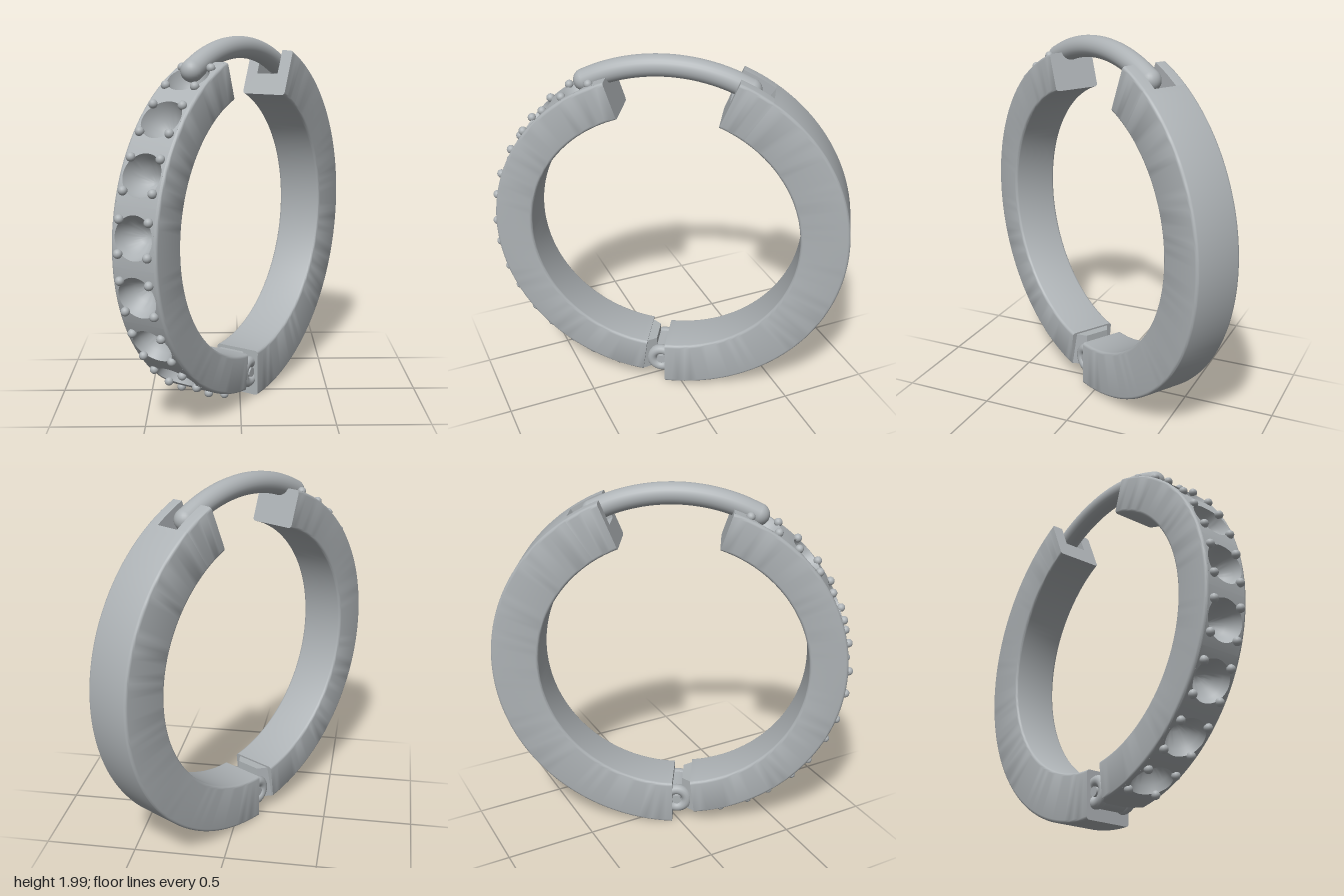
import * as THREE from 'three';
import { toCreasedNormals } from 'three/addons/utils/BufferGeometryUtils.js';

const rad = THREE.MathUtils.degToRad;

// Hoop lies in the local yz plane, its width runs along x
const HALF_WIDTH = 0.133, EDGE = 0.016, CENTRE_Y = 1.0;
const FRONT = { z: 0.04, inner: 0.72, outer: 0.926 };
const BACK = { z: 0.025, inner: 0.73, outer: 0.991 };

const metal = new THREE.MeshStandardMaterial({ color: 0xadb2b5, side: THREE.DoubleSide });
metal.name = 'silver metal';

// Point at an angle (degrees, 0 = front, 90 = top) and radius around a half's centre
function polar(half, deg, radius, w) {
  const t = rad(deg);
  return [w, CENTRE_Y + radius * Math.sin(t), half.z + radius * Math.cos(t)];
}

function finish(geometry) {
  return toCreasedNormals(geometry, 0.6);
}

// Surface over a grid: fn(i, j) gives a point
function grid(fn, nu, nv) {
  const pos = [], index = [];
  for (let i = 0; i <= nu; i++) for (let j = 0; j <= nv; j++) pos.push(...fn(i, j));
  for (let i = 0; i < nu; i++) for (let j = 0; j < nv; j++) {
    const a = i * (nv + 1) + j, b = a + nv + 1;
    index.push(a, b, b + 1, a, b + 1, a + 1);
  }
  const g = new THREE.BufferGeometry();
  g.setAttribute('position', new THREE.Float32BufferAttribute(pos, 3));
  g.setIndex(index);
  return finish(g);
}

// Rounded cross-section [w, radius], left open along the outer face
function section(half) {
  const x = HALF_WIDTH - EDGE, top = half.outer - EDGE, low = half.inner + EDGE;
  const corners = [[-x, top, 90], [-x, low, 180], [x, low, 270], [x, top, 0]];
  const pts = [];
  for (const [cx, cy, start] of corners) for (let k = 0; k <= 4; k++) {
    const t = rad(start + k * 22.5);
    pts.push([cx + EDGE * Math.cos(t), cy + EDGE * Math.sin(t)]);
  }
  return pts;
}

function sweep(half, pts, from, to, steps) {
  return grid((i, j) => polar(half, from + (to - from) * i / steps, pts[j][1], pts[j][0]), steps, pts.length - 1);
}

// Flat end of a swept section
function cap(half, pts, deg, flip) {
  const g = new THREE.ShapeGeometry(new THREE.Shape(pts.map(p => new THREE.Vector2(...p))));
  const p = g.attributes.position;
  for (let i = 0; i < p.count; i++) p.setXYZ(i, ...polar(half, deg, p.getY(i), p.getX(i)));
  if (flip) g.index.array.reverse();
  return finish(g);
}

// One tile of the outer face with a conical stone seat sunk in it
function seatTile(half, deg, pitch) {
  const halfArc = rad(pitch / 2) * half.outer, halfW = HALF_WIDTH - EDGE, hole = 0.109;
  const cup = [[0.1, 0.045], [0.075, 0.085], [0.045, 0.115], [0.02, 0.128], [0.0005, 0.13]];
  const flatSteps = 3, n = 48;
  return grid((i, j) => {
    const t = i / n * Math.PI * 2, c = Math.cos(t), s = -Math.sin(t);
    const m = Math.max(Math.abs(c), Math.abs(s));
    let arc, w, depth = 0;
    if (j <= flatSteps) {
      const k = j / flatSteps;
      arc = (c / m) * halfArc * (1 - k) + c * hole * k;
      w = (s / m) * halfW * (1 - k) + s * hole * k;
    } else {
      const [r, d] = cup[j - flatSteps - 1];
      arc = c * r; w = s * r; depth = d;
    }
    return polar(half, deg + THREE.MathUtils.radToDeg(arc / half.outer), half.outer - depth, w);
  }, n, flatSteps + cup.length);
}

export function createModel() {
  const model = new THREE.Group();
  model.name = 'hoopEarring';
  const hoop = new THREE.Group();
  hoop.name = 'hoop';
  hoop.rotation.y = rad(-32);
  model.add(hoop);

  function add(name, geometry, position) {
    const mesh = new THREE.Mesh(geometry, metal);
    mesh.name = name;
    if (position) mesh.position.set(...position);
    hoop.add(mesh);
    return mesh;
  }

  // Front half: band, plain ends of the outer face, and caps
  const pitch = 18.5, firstSeat = 61, seats = 8, fTop = 71.5, fBottom = -83;
  const frontPts = section(FRONT), w0 = HALF_WIDTH - EDGE;
  add('frontBand', sweep(FRONT, frontPts, fBottom, fTop, 64));
  add('frontTopEnd', cap(FRONT, frontPts, fTop, true));
  add('frontBottomEnd', cap(FRONT, frontPts, fBottom, false));
  const face = [[w0, FRONT.outer], [-w0, FRONT.outer]];
  add('frontTopStrip', sweep(FRONT, face, firstSeat + pitch / 2, fTop, 2));
  add('frontBottomStrip', sweep(FRONT, face, fBottom, firstSeat - pitch * (seats - 0.5), 4));

  // Stone seats, each with four bead prongs
  const bead = new THREE.SphereGeometry(0.023, 16, 12);
  for (let i = 0; i < seats; i++) {
    const deg = firstSeat - i * pitch;
    add('stoneSeat', seatTile(FRONT, deg, pitch));
    for (const s of [-1, 1]) for (const w of [-1, 1])
      add('prong', bead, polar(FRONT, deg + s * 5.1, FRONT.outer + 0.006, w * 0.086));
  }

  // Back half: solid band, then a grooved tip that receives the post
  const bTip = 112.5, bSlot = 123.5, bEnd = 270;
  const open = section(BACK), closed = [...open, open[0]];
  const g = 0.065, floor = BACK.outer - 0.14;
  const grooved = [...open, [g, BACK.outer], [g, floor], [-g, floor], [-g, BACK.outer]];
  add('backBand', sweep(BACK, closed, bSlot, bEnd, 64));
  add('backHingeEnd', cap(BACK, open, bEnd, true));
  add('grooveEnd', cap(BACK, open, bSlot, false));
  add('groovedTip', sweep(BACK, [...grooved, grooved[0]], bTip, bSlot, 8));
  add('groovedTipEnd', cap(BACK, grooved, bTip, false));

  // Curved post bridging the gap
  const postArc = { z: 0.03 }, postPts = [];
  for (let d = 63; d <= 117; d += 6) postPts.push(new THREE.Vector3(...polar(postArc, d, 0.942, 0)));
  add('post', new THREE.TubeGeometry(new THREE.CatmullRomCurve3(postPts), 40, 0.058, 24));
  for (const p of [postPts[0], postPts[postPts.length - 1]])
    add('postTip', new THREE.SphereGeometry(0.058, 24, 16), p.toArray());

  // Hinge: tapered tongue on the front half, knuckles and pin
  const tongue = new THREE.Shape([[-0.128, -0.16], [0.128, -0.16], [0.07, -0.08], [-0.07, -0.08]]
    .map(p => new THREE.Vector2(...p)));
  const tongueGeo = new THREE.ExtrudeGeometry(tongue, { depth: 0.19, bevelEnabled: false });
  tongueGeo.rotateX(-Math.PI / 2);
  add('hingeTongue', tongueGeo, [0, 0.085, 0]);
  const barrel = new THREE.CylinderGeometry(0.08, 0.08, 0.15, 32).rotateZ(Math.PI / 2);
  add('hingeBarrel', barrel, [0, 0.15, 0.05]);
  for (const s of [-1, 1])
    add('hingeKnuckle', new THREE.TorusGeometry(0.058, 0.03, 14, 32).rotateY(Math.PI / 2), [s * 0.085, 0.15, 0.05]);
  add('hingePin', new THREE.CylinderGeometry(0.026, 0.026, 0.22, 20).rotateZ(Math.PI / 2), [0, 0.15, 0.05]);

  return model;
}
